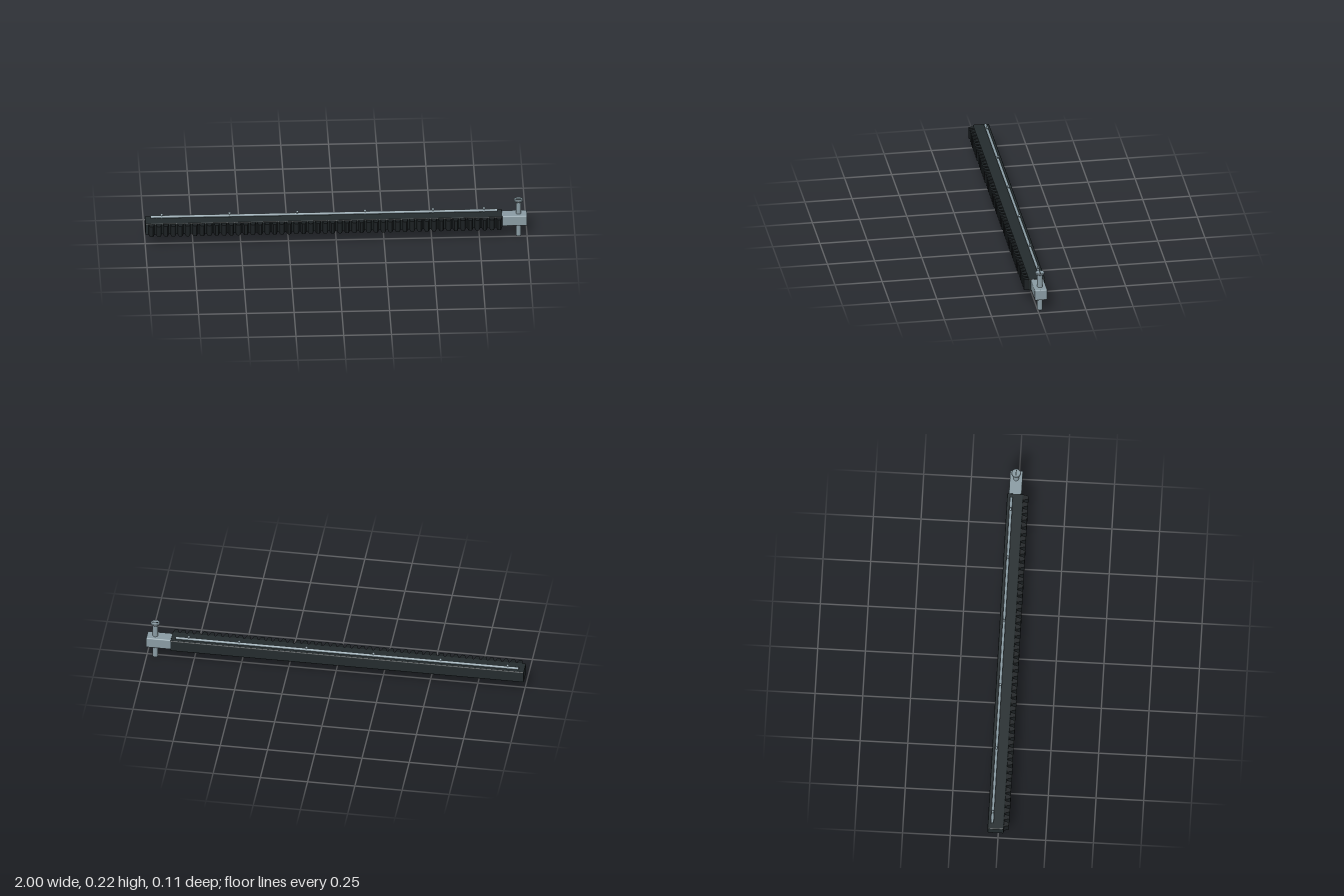
import * as THREE from 'three';
import { RoundedBoxGeometry } from 'three/addons/geometries/RoundedBoxGeometry.js';

const dark = new THREE.MeshStandardMaterial({ color: 0x242c2e });
const black = new THREE.MeshStandardMaterial({ color: 0x1b2022 });
const steel = new THREE.MeshStandardMaterial({ color: 0x8a9ca4 });

export function createModel() {
  const model = new THREE.Group();
  const add = (name, geometry, material, x, y, z, parent = model) => {
    const mesh = new THREE.Mesh(geometry, material);
    mesh.name = name;
    mesh.position.set(x, y, z);
    parent.add(mesh);
    return mesh;
  };

  // Long bar with softened edges
  add('rackBar', new RoundedBoxGeometry(1.87, 0.065, 0.085, 2, 0.005), dark, -0.065, 0.1025, -0.0125);

  // Row of tapered, round-tipped teeth along the front
  const profile = new THREE.Shape();
  profile.moveTo(-0.016, -0.004);
  profile.lineTo(-0.015, 0.004);
  profile.lineTo(-0.010, 0.022);
  profile.quadraticCurveTo(-0.008, 0.028, -0.004, 0.028);
  profile.lineTo(0.004, 0.028);
  profile.quadraticCurveTo(0.008, 0.028, 0.010, 0.022);
  profile.lineTo(0.015, 0.004);
  profile.lineTo(0.016, -0.004);
  const toothGeometry = new THREE.ExtrudeGeometry(profile, { depth: 0.061, bevelEnabled: false, curveSegments: 4 });
  toothGeometry.rotateX(Math.PI / 2); // profile tip now faces +z, depth runs down
  const teeth = new THREE.Group();
  teeth.name = 'teeth';
  model.add(teeth);
  const count = 49;
  for (let i = 0; i < count; i++) {
    add('tooth', toothGeometry, black, -0.968 + (i * 1.82) / (count - 1), 0.133, 0.029, teeth);
  }

  // Rail on top of the bar with its small fasteners
  const rail = add('topRail', new THREE.CylinderGeometry(0.0075, 0.0075, 1.815, 16), steel, -0.0625, 0.142, -0.032);
  rail.rotation.z = Math.PI / 2;
  for (const x of [-0.912, -0.557, -0.202, 0.153, 0.508, 0.775]) {
    const clip = new THREE.Group();
    clip.name = 'railClip';
    clip.position.set(x, 0, -0.032);
    model.add(clip);
    add('clipStem', new THREE.CylinderGeometry(0.005, 0.005, 0.024, 12), steel, 0, 0.146, 0, clip);
    const head = new THREE.SphereGeometry(0.008, 14, 10);
    head.scale(1, 0.75, 0.8);
    add('clipHead', head, steel, 0, 0.156, 0, clip);
  }

  // End block carrying the vertical pin
  add('endBlock', new RoundedBoxGeometry(0.15, 0.06, 0.067, 3, 0.006), steel, 0.925, 0.103, -0.013);

  const pin = new THREE.Group();
  pin.name = 'pin';
  pin.position.set(0.955, 0, -0.013);
  model.add(pin);
  const lathe = points => new THREE.LatheGeometry(points.map(p => new THREE.Vector2(...p)), 32);
  add('pinShaft', lathe([[0, 0], [0.0125, 0], [0.0125, 0], [0.014, 0.002], [0.014, 0.002],
    [0.014, 0.202], [0.014, 0.202], [0.012, 0.204], [0.011, 0.208]]), steel, 0, 0, 0, pin);
  add('pinHead', lathe([[0, 0.206], [0.022, 0.206], [0.022, 0.206], [0.0245, 0.2085], [0.0245, 0.2085],
    [0.0245, 0.2145], [0.0245, 0.2145], [0.0225, 0.2165], [0.0225, 0.2165], [0, 0.2165]]), steel, 0, 0, 0, pin);
  add('headSlot', new THREE.BoxGeometry(0.03, 0.002, 0.005), dark, 0, 0.2165, 0, pin);
  return model;
}
